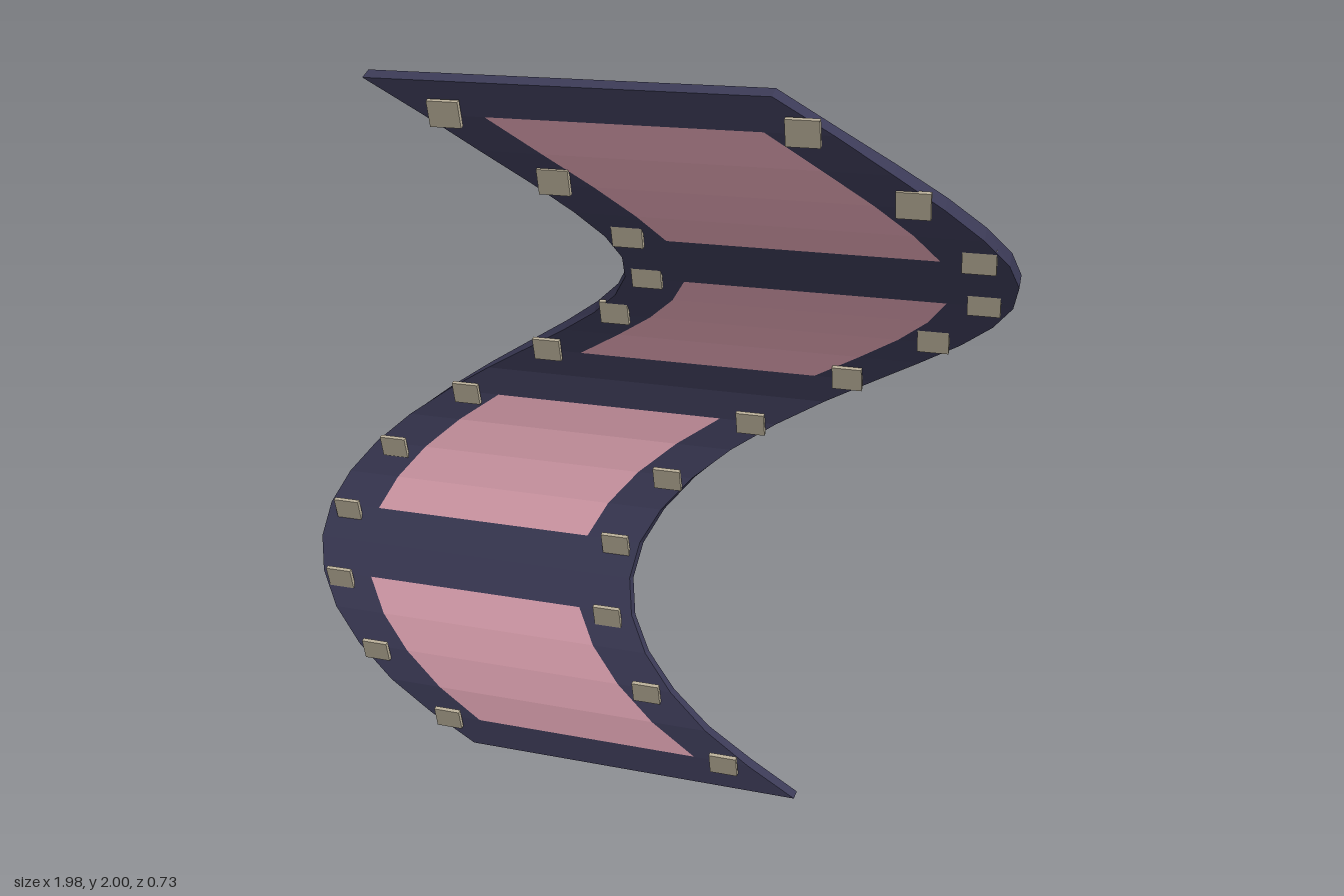
import * as THREE from 'three';

const SEGMENTS = 24;
const HALF_WIDTH = 0.48, FRAME_HALF = 0.325, HALF_THICK = 0.018;

// Side profile of the curling strip, evenly spaced along its length: [y, z]
const profile = new THREE.CatmullRomCurve3([
  [0.002, -0.155], [0.17, -0.145], [0.36, -0.177], [0.55, -0.242], [0.74, -0.31],
  [0.93, -0.345], [1.105, -0.33], [1.262, -0.258], [1.405, -0.135], [1.543, 0.012],
  [1.68, 0.165], [1.832, 0.285], [1.993, 0.352],
].map(([y, z]) => new THREE.Vector3(0, y, z)), false, 'catmullrom');

// Centre of the strip at t, swaying sideways in an S
function centre(t) {
  const p = profile.getPoint(t);
  p.x = -0.51 * Math.sin(2 * Math.PI * t);
  return p;
}

// Point on the strip: ring i, sideways offset x, side +1 front or -1 back
function surface(i, x, side) {
  const t = i / SEGMENTS;
  const d = profile.getTangent(t);
  const normal = new THREE.Vector3(0, -d.z, d.y).normalize();
  const p = centre(t).addScaledVector(normal, side * HALF_THICK);
  p.x += x;
  return p;
}

// Flat-faced mesh from counter-clockwise quads
function quadMesh(quads, material, name) {
  const points = quads.flatMap(([a, b, c, d]) => [a, b, c, a, c, d]);
  const geometry = new THREE.BufferGeometry().setFromPoints(points);
  geometry.computeVertexNormals();
  const mesh = new THREE.Mesh(geometry, material);
  mesh.name = name;
  return mesh;
}

export function createModel() {
  const navy = new THREE.MeshStandardMaterial({ name: 'navy film', color: 0x3b3a56 });
  const pink = new THREE.MeshStandardMaterial({ name: 'pink frame', color: 0xdfa3b2 });
  const cream = new THREE.MeshStandardMaterial({ name: 'cream perforation', color: 0xb8ae98 });
  const model = new THREE.Group();
  model.name = 'filmStrip';

  const front = (i, x0, x1) => [
    surface(i, x0, 1), surface(i, x1, 1), surface(i + 1, x1, 1), surface(i + 1, x0, 1)];
  const W = HALF_WIDTH, F = FRAME_HALF;
  const film = [], frames = [[], [], [], []];

  for (let i = 0; i < SEGMENTS; i++) {
    // front margins and the middle, which is either frame or bare film
    film.push(front(i, -W, -F), front(i, F, W));
    const inFrame = i % 6 >= 1 && i % 6 <= 4;
    (inFrame ? frames[Math.floor(i / 6)] : film).push(front(i, -F, F));
    // back
    film.push([surface(i, W, -1), surface(i, -W, -1), surface(i + 1, -W, -1), surface(i + 1, W, -1)]);
    // long edges
    film.push([surface(i, W, 1), surface(i, W, -1), surface(i + 1, W, -1), surface(i + 1, W, 1)]);
    film.push([surface(i, -W, -1), surface(i, -W, 1), surface(i + 1, -W, 1), surface(i + 1, -W, -1)]);
  }
  // bottom and top ends
  film.push([surface(0, -W, -1), surface(0, W, -1), surface(0, W, 1), surface(0, -W, 1)]);
  const n = SEGMENTS;
  film.push([surface(n, -W, 1), surface(n, W, 1), surface(n, W, -1), surface(n, -W, -1)]);

  model.add(quadMesh(film, navy, 'filmRibbon'));
  frames.forEach((quads, k) => model.add(quadMesh(quads, pink, `pictureFrame${k + 1}`)));

  // Perforation blocks along both margins, all at the same tilt
  const perforations = new THREE.Group();
  perforations.name = 'perforations';
  const block = new THREE.BoxGeometry(0.077, 0.064, 0.012);
  for (let k = 0; k < 12; k++) {
    const p = centre((k + 0.5) / 12);
    for (const side of [-1, 1]) {
      const mesh = new THREE.Mesh(block, cream);
      mesh.name = side > 0 ? 'leftPerforation' : 'rightPerforation';
      mesh.position.set(p.x + side * 0.415, p.y, p.z + 0.035);
      mesh.rotation.x = 0.3;
      perforations.add(mesh);
    }
  }
  model.add(perforations);
  return model;
}
